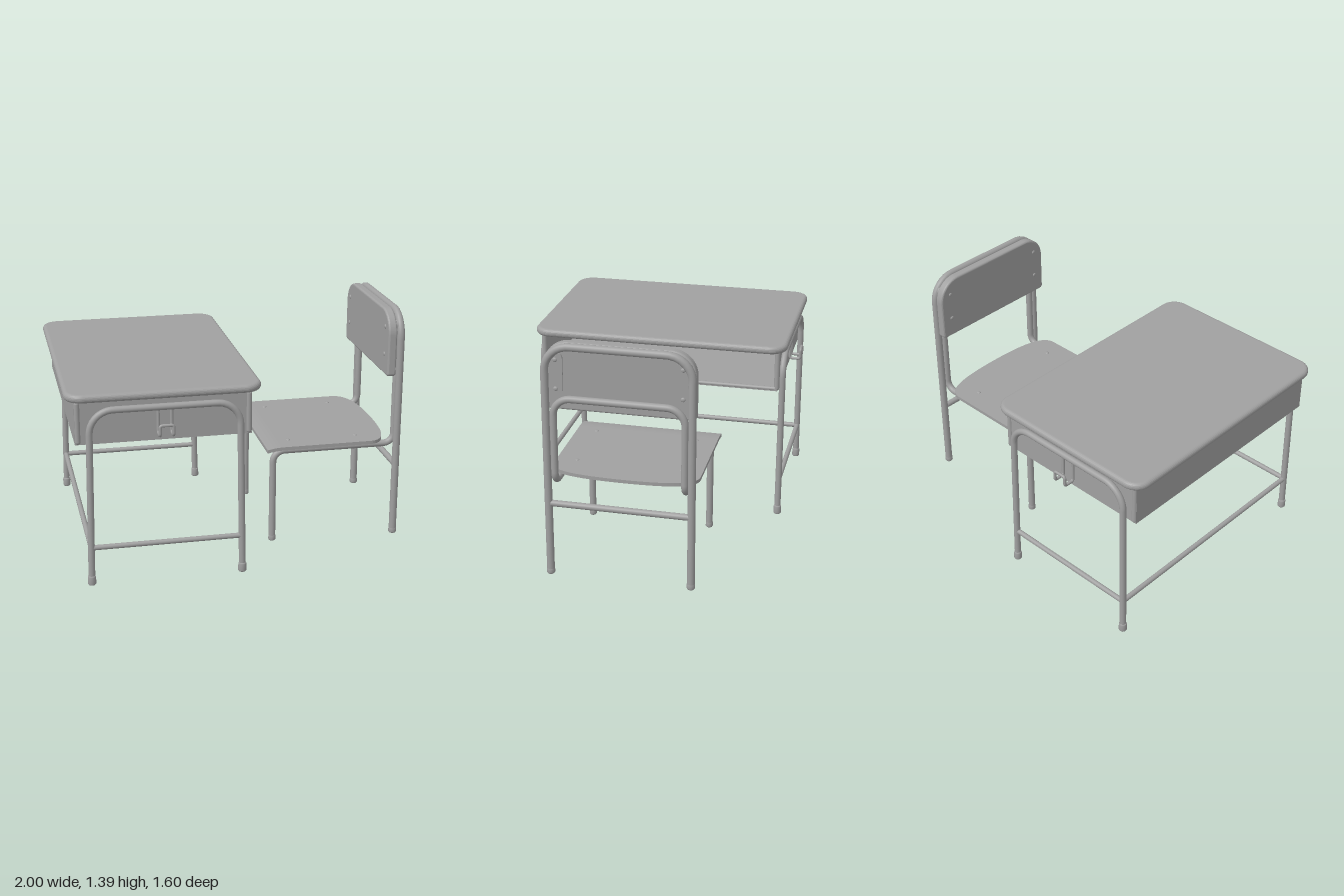
import * as THREE from 'three';

const color = 0xa0a0a0;
const grey = new THREE.MeshStandardMaterial({ color });
const thin = new THREE.MeshStandardMaterial({ color, side: THREE.DoubleSide });
const V = (x, y, z) => new THREE.Vector3(x, y, z);

function add(group, name, geometry, material = grey) {
  const mesh = new THREE.Mesh(geometry, material);
  mesh.name = name;
  group.add(mesh);
  return mesh;
}

function box(group, name, x0, x1, y0, y1, z0, z1) {
  const g = new THREE.BoxGeometry(x1 - x0, y1 - y0, z1 - z0);
  add(group, name, g).position.set((x0 + x1) / 2, (y0 + y1) / 2, (z0 + z1) / 2);
}

// Bent pipe: straight runs joined by circular-looking bends; corners = [x, y, z, bend radius]
function pipe(group, name, corners, radius, segments = 110, sides = 14) {
  const path = new THREE.CurvePath();
  const pts = corners.map(c => V(c[0], c[1], c[2]));
  let from = pts[0];
  for (let i = 1; i < pts.length - 1; i++) {
    const r = corners[i][3], p = pts[i];
    const a = pts[i - 1].clone().sub(p).setLength(r).add(p);
    const b = pts[i + 1].clone().sub(p).setLength(r).add(p);
    path.add(new THREE.LineCurve3(from, a));
    path.add(new THREE.CubicBezierCurve3(a, a.clone().lerp(p, 0.55), b.clone().lerp(p, 0.55), b));
    from = b;
  }
  path.add(new THREE.LineCurve3(from, pts[pts.length - 1]));
  add(group, name, new THREE.TubeGeometry(path, segments, radius, sides), thin);
}

function bar(group, name, a, b, radius) {
  add(group, name, new THREE.TubeGeometry(new THREE.LineCurve3(V(...a), V(...b)), 1, radius, 14), thin);
}

// Rectangle with separate top and bottom corner radii
function roundedRect(w, h, top, bottom = top) {
  const s = new THREE.Shape(), x = w / 2, y = h / 2;
  s.moveTo(-x + bottom, -y).lineTo(x - bottom, -y);
  s.absarc(x - bottom, -y + bottom, bottom, -Math.PI / 2, 0);
  s.lineTo(x, y - top);
  s.absarc(x - top, y - top, top, 0, Math.PI / 2);
  s.lineTo(-x + top, y);
  s.absarc(-x + top, y - top, top, Math.PI / 2, Math.PI);
  s.lineTo(-x, -y + bottom);
  s.absarc(-x + bottom, -y + bottom, bottom, Math.PI, Math.PI * 1.5);
  return s;
}

// Plate centred on its thickness, with rounded edges
function plate(shape, thickness, bevel) {
  const depth = thickness - 2 * bevel;
  return new THREE.ExtrudeGeometry(shape, {
    depth, bevelEnabled: bevel > 0, bevelThickness: bevel, bevelSize: bevel,
    bevelOffset: -bevel, bevelSegments: 5, curveSegments: 14
  }).translate(0, 0, -depth / 2);
}

// Rubber foot with a rounded sole
function foot(group, x, z, r, h) {
  const profile = [[0, 0], [r * 0.8, 0], [r, r * 0.3], [r * 0.96, h * 0.85], [r * 0.8, h], [0, h]];
  add(group, 'foot', new THREE.LatheGeometry(profile.map(p => new THREE.Vector2(...p)), 16))
    .position.set(x, 0.005, z);
}

// Domed screw head pointing along +y, or along x when towardX is set
function screw(group, x, y, z, towardX = 0) {
  const g = new THREE.SphereGeometry(0.013, 12, 5, 0, Math.PI * 2, 0, Math.PI / 2).scale(1, 0.5, 1);
  const m = add(group, 'screw', g, thin);
  m.position.set(x, y, z);
  m.rotation.z = -towardX * Math.PI / 2;
}

function makeDesk() {
  const desk = new THREE.Group();
  desk.name = 'desk';
  add(desk, 'tabletop', plate(roundedRect(1.085, 1.524, 0.1), 0.047, 0.022).rotateX(-Math.PI / 2))
    .position.set(-0.4575, 1.098, -0.002);

  // Book tray, open toward the chair, with rolled edges
  box(desk, 'trayFloor', -0.95, 0.025, 0.83, 0.842, -0.715, 0.715);
  box(desk, 'trayBack', -0.95, -0.938, 0.83, 1.076, -0.715, 0.715);
  for (const s of [-1, 1]) {
    const z = s * 0.709;
    box(desk, 'traySide', -0.94, 0.01, 0.83, 1.076, z - 0.006, z + 0.006);
    for (const x of [-0.934, 0.01]) {
      add(desk, 'trayRolledEdge', new THREE.CapsuleGeometry(0.016, 0.214, 4, 14)).position.set(x, 0.954, z);
    }
  }
  bar(desk, 'trayLip', [0.015, 0.842, -0.7], [0.015, 0.842, 0.7], 0.012);

  for (const s of [-1, 1]) {
    const z = s * 0.735;
    pipe(desk, 'legArch', [
      [-0.886, 0.03, z], [-0.872, 1.025, z, 0.13], [-0.043, 1.025, z, 0.13], [-0.029, 0.03, z]
    ], 0.019);
    foot(desk, -0.886, z, 0.024, 0.055);
    foot(desk, -0.029, z, 0.024, 0.055);
    bar(desk, 'sideRail', [-0.883, 0.227, z], [-0.032, 0.227, z], 0.015);
    // Bag hook: one wire bent down, out, up and across
    const zi = s * 0.726, zo = s * 0.79;
    pipe(desk, 'bagHook', [
      [-0.497, 1.005, zi], [-0.497, 0.875, zi, 0.015], [-0.497, 0.875, zo, 0.015], [-0.497, 0.935, zo, 0.012],
      [-0.423, 0.935, zo, 0.012], [-0.423, 0.875, zo, 0.015], [-0.423, 0.875, zi, 0.015], [-0.423, 1.005, zi]
    ], 0.009, 140, 8);
  }
  bar(desk, 'rearRail', [-0.883, 0.227, -0.735], [-0.883, 0.227, 0.735], 0.015);
  return desk;
}

function makeSeat(chair) {
  // Flat board with a bowed rear edge, drawn with y across the seat and then laid down
  const board = new THREE.Shape();
  board.moveTo(0.29, -0.418).lineTo(0.81, -0.418);
  board.bezierCurveTo(0.9, -0.418, 0.94, -0.3, 0.94, 0);
  board.bezierCurveTo(0.94, 0.3, 0.9, 0.418, 0.81, 0.418);
  board.lineTo(0.29, 0.418);
  add(chair, 'seat', plate(board, 0.02, 0).rotateX(-Math.PI / 2)).position.y = 0.602;

  // Front strip that dips down
  const lip = new THREE.BoxGeometry(0.1, 0.02, 0.836, 8, 1, 1).translate(0.24, 0.602, 0);
  const p = lip.attributes.position;
  for (let i = 0; i < p.count; i++) {
    const t = (0.29 - p.getX(i)) / 0.1;
    p.setY(i, p.getY(i) - 0.012 * t * t);
  }
  lip.computeVertexNormals();
  add(chair, 'seatFrontLip', lip);
}

function makeChair() {
  const chair = new THREE.Group();
  chair.name = 'chair';
  makeSeat(chair);

  // Back hoop reaching the floor, and the inner hoop that runs on into seat rails and front legs
  pipe(chair, 'backHoop', [
    [0.976, 0.02, -0.402], [0.976, 1.37, -0.402, 0.14], [0.976, 1.37, 0.402, 0.14], [0.976, 0.02, 0.402]
  ], 0.022);
  pipe(chair, 'seatFrame', [
    [0.235, 0.02, -0.362], [0.235, 0.572, -0.362, 0.07], [0.97, 0.572, -0.362, 0.06],
    [0.97, 1.072, -0.362, 0.1], [0.97, 1.072, 0.362, 0.1],
    [0.97, 0.572, 0.362, 0.06], [0.235, 0.572, 0.362, 0.07], [0.235, 0.02, 0.362]
  ], 0.02, 260);
  bar(chair, 'rearRail', [0.976, 0.445, -0.4], [0.976, 0.445, 0.4], 0.018);

  // Backrest with rounded top corners
  add(chair, 'backrest', plate(roundedRect(0.836, 0.385, 0.14, 0.02), 0.052, 0.012).rotateY(Math.PI / 2))
    .position.set(0.924, 1.1925, 0);

  for (const s of [-1, 1]) {
    foot(chair, 0.235, s * 0.362, 0.022, 0.035);
    foot(chair, 0.976, s * 0.402, 0.024, 0.035);
    box(chair, 'seatBracket', 0.38, 0.71, 0.573, 0.593, s * 0.3 - 0.03, s * 0.3 + 0.03);
    for (const x of [0.34, 0.75]) screw(chair, x, 0.611, s * 0.3);
    add(chair, 'backrestBracket', plate(roundedRect(0.09, 0.235, 0.03), 0.014, 0).rotateY(Math.PI / 2))
      .position.set(0.953, 1.21, s * 0.352);
    for (const y of [1.122, 1.287]) {
      screw(chair, 0.898, y, s * 0.347, -1);
      screw(chair, 0.96, y, s * 0.347, 1);
    }
  }
  return chair;
}

export function createModel() {
  const model = new THREE.Group();
  model.name = 'schoolDeskAndChair';
  model.add(makeDesk(), makeChair());
  return model;
}
